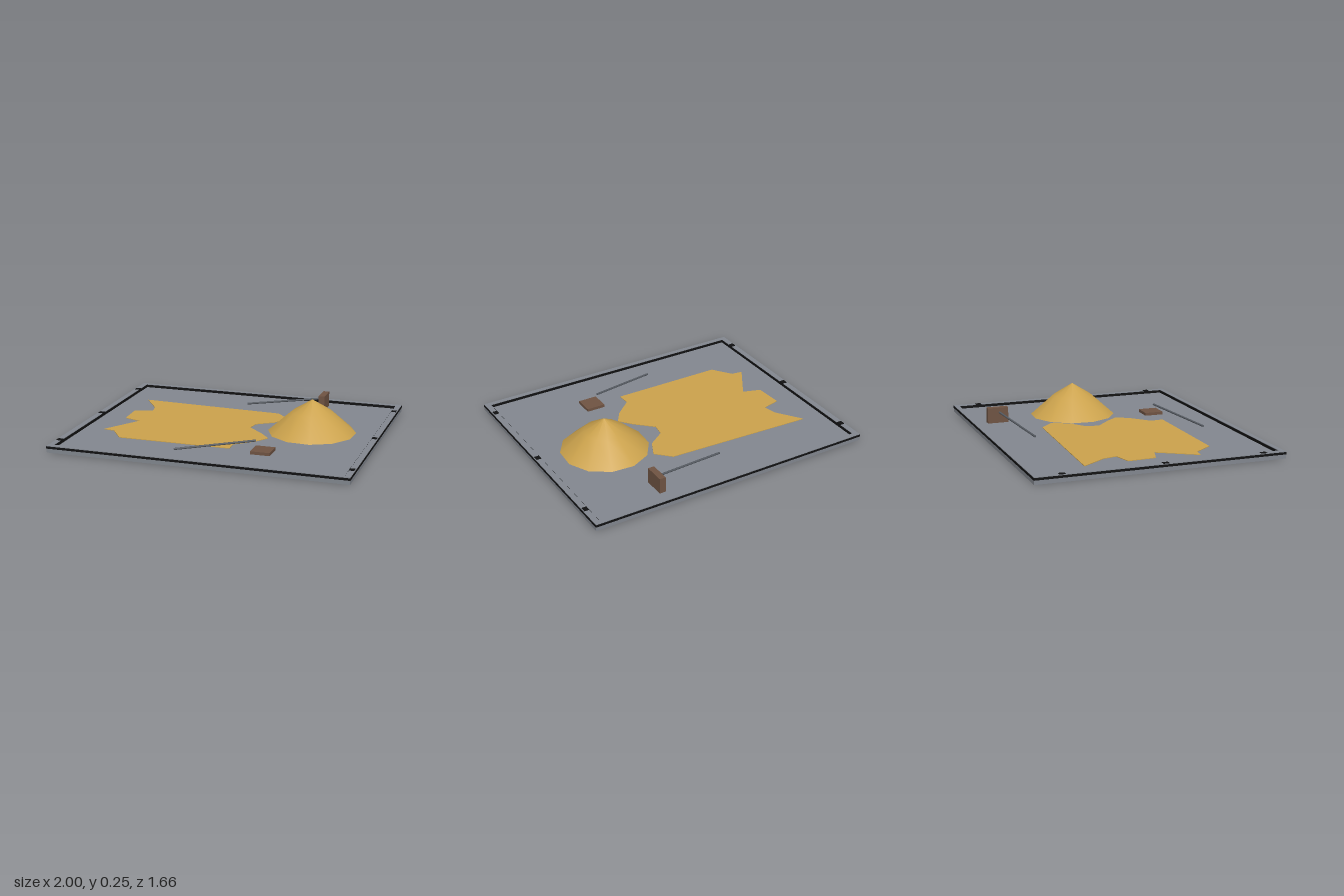
import * as THREE from 'three';

const mat = (name, color, extra = {}) => {
  const m = new THREE.MeshStandardMaterial({ color, ...extra });
  m.name = name;
  return m;
};

export function createModel() {
  const root = new THREE.Group();
  root.name = 'sandTray';
  const grey = mat('concreteGrey', 0x82878f);
  const black = mat('blackTrim', 0x111112);
  const sand = mat('sand', 0xcba24c);
  const wood = mat('brownWood', 0x6f5342);
  const steel = mat('handleGrey', 0x565b62);

  const add = (name, geo, material, x = 0, y = 0, z = 0, parent = root) => {
    const mesh = new THREE.Mesh(geo, material);
    mesh.name = name;
    mesh.position.set(x, y, z);
    parent.add(mesh);
    return mesh;
  };

  // Rectangular ring lying flat, from y0 to y1
  const ring = (name, ox, oz, ix, iz, y0, y1, material) => {
    const rect = (P, x, z) => new P([[-x, -z], [x, -z], [x, z], [-x, z]].map(p => new THREE.Vector2(...p)));
    const shape = rect(THREE.Shape, ox, oz);
    shape.holes.push(rect(THREE.Path, ix, iz));
    const geo = new THREE.ExtrudeGeometry(shape, { depth: y1 - y0, bevelEnabled: false });
    geo.rotateX(-Math.PI / 2);
    add(name, geo, material, 0, y0, 0);
  };

  // Tray: floor sunk inside the rim, black band outside and liner inside
  add('floor', new THREE.BoxGeometry(1.93, 0.01, 1.6), grey, 0, 0.02, 0);
  ring('rim', 0.998, 0.828, 0.96, 0.795, 0, 0.046, grey);
  ring('outerBand', 1, 0.83, 0.99, 0.82, 0.027, 0.042, black);
  ring('innerLiner', 0.962, 0.797, 0.957, 0.792, 0.003, 0.043, black);

  // Black clips on the two short sides
  for (const side of [-1, 1]) {
    for (const z of [-0.65, 0.015, 0.68]) {
      add('rimClip', new THREE.BoxGeometry(0.034, 0.008, 0.04), black, side * 0.976, 0.0435, z);
    }
  }

  // Spread sand: thin ragged sheet, points given as x, z
  const outline = [
    [-0.81, -0.45], [0.2, -0.4], [0.295, -0.305], [0.24, -0.19], [0.125, -0.11], [0.11, -0.02],
    [0.225, 0.09], [0.295, 0.175], [0.235, 0.265], [0.115, 0.37], [0.12, 0.46], [-0.65, 0.46],
    [-0.745, 0.33], [-0.82, 0.32], [-0.665, 0.07], [-0.785, 0.03], [-0.795, -0.16],
    [-0.67, -0.19], [-0.69, -0.28],
  ];
  const sheet = new THREE.ExtrudeGeometry(
    new THREE.Shape(outline.map(([x, z]) => new THREE.Vector2(x, -z))),
    { depth: 0.004, bevelEnabled: false });
  sheet.rotateX(-Math.PI / 2);
  add('sandSheet', sheet, sand, 0, 0.025, 0);

  // Sand pile: twelve-sided soft cone
  const profile = [[0.297, 0], [0.138, 0.14], [0, 0.225]].map(p => new THREE.Vector2(...p));
  const pile = new THREE.LatheGeometry(profile, 12, THREE.MathUtils.degToRad(11));
  add('sandPile', pile, sand, 0.53, 0.025, -0.07);

  // Tools: a sloping handle and a square wooden head
  const tool = (name, from, to, size, head) => {
    const group = new THREE.Group();
    group.name = name;
    root.add(group);
    const a = new THREE.Vector3(...from), b = new THREE.Vector3(...to);
    const dir = b.clone().sub(a);
    const rod = add('handle', new THREE.CylinderGeometry(0.007, 0.007, dir.length(), 8), steel, 0, 0, 0, group);
    rod.position.copy(a).add(b).multiplyScalar(0.5);
    rod.quaternion.setFromUnitVectors(new THREE.Vector3(0, 1, 0), dir.normalize());
    add('head', new THREE.BoxGeometry(...size), wood, ...head, group);
  };
  tool('flatTool', [-0.2, 0.042, 0.625], [0.3, 0.1, 0.465], [0.13, 0.027, 0.13], [0.345, 0.0315, 0.462]);
  tool('uprightTool', [-0.07, 0.042, -0.535], [0.46, 0.1, -0.635], [0.043, 0.112, 0.145], [0.468, 0.076, -0.643]);

  return root;
}
